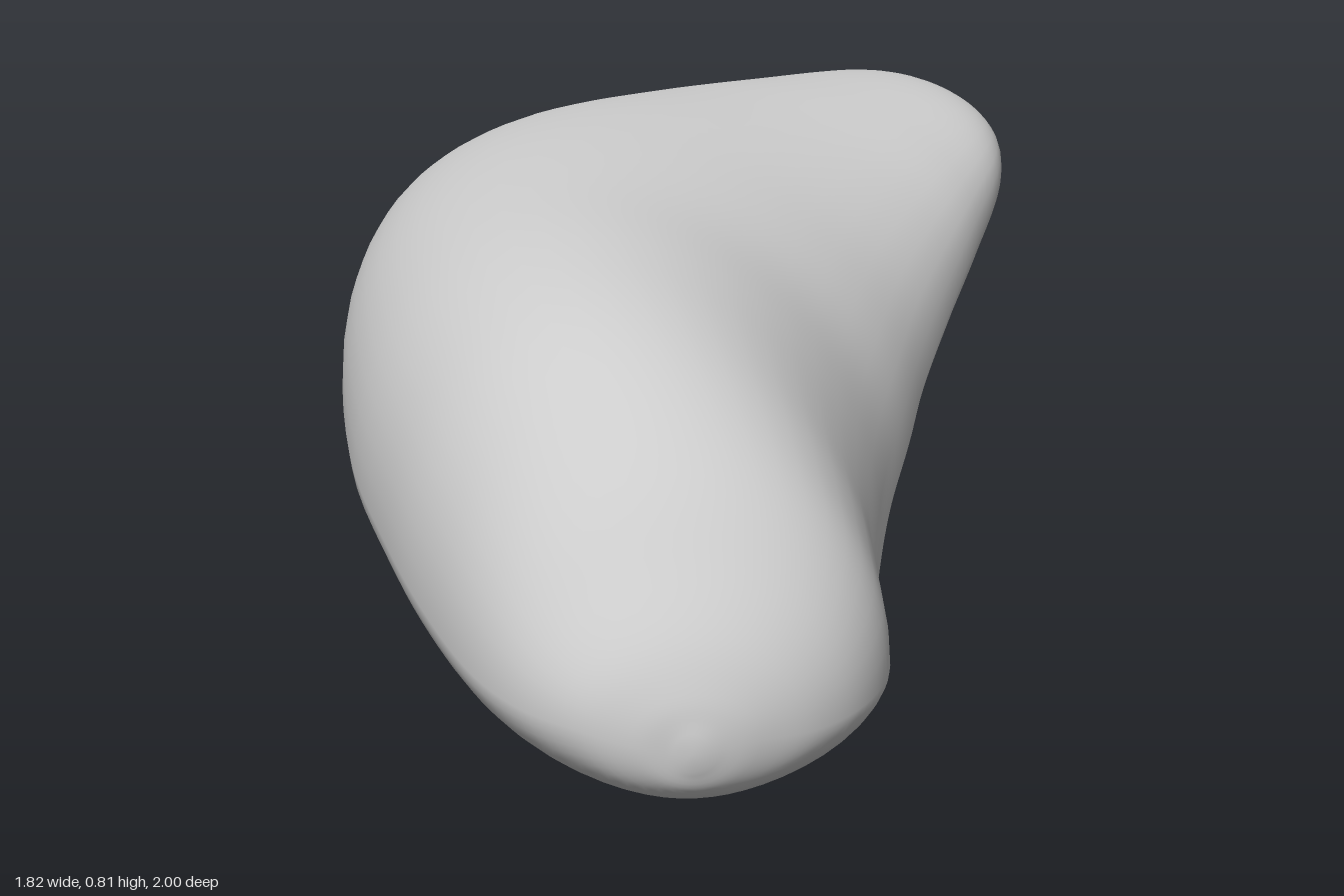
import * as THREE from 'three';

// Cross-sections from the raised back end to the low front end:
// outer rim (x, y, z), inner rim (x, y, z), crest height, underside height, crest lean
const SECTIONS = [
  [-0.59, 0.70, -0.998, -0.51, 0.70, -0.998, 0.72, 0.675, 0.0],
  [-0.71, 0.70, -0.955, -0.30, 0.68, -0.935, 0.78, 0.59, 0.12],
  [-0.77, 0.69, -0.87, -0.17, 0.64, -0.83, 0.808, 0.52, 0.23],
  [-0.83, 0.66, -0.62, -0.06, 0.56, -0.66, 0.812, 0.405, 0.27],
  [-0.89, 0.63, -0.37, 0.04, 0.47, -0.49, 0.812, 0.315, 0.27],
  [-0.905, 0.61, -0.08, 0.15, 0.37, -0.31, 0.81, 0.25, 0.24],
  [-0.80, 0.54, 0.20, 0.25, 0.29, -0.17, 0.795, 0.195, 0.2],
  [-0.57, 0.43, 0.47, 0.35, 0.225, -0.03, 0.765, 0.14, 0.16],
  [-0.23, 0.33, 0.71, 0.465, 0.18, 0.105, 0.725, 0.095, 0.12],
  [0.08, 0.26, 0.86, 0.59, 0.155, 0.235, 0.665, 0.055, 0.09],
  [0.30, 0.20, 0.94, 0.72, 0.145, 0.345, 0.58, 0.025, 0.06],
  [0.47, 0.16, 0.985, 0.83, 0.135, 0.44, 0.47, 0.005, 0.03],
  [0.60, 0.14, 0.995, 0.89, 0.12, 0.55, 0.35, 0.0, 0],
  [0.70, 0.13, 0.975, 0.905, 0.11, 0.66, 0.26, 0.01, 0],
  [0.775, 0.11, 0.927, 0.885, 0.11, 0.76, 0.185, 0.035, 0],
  [0.82, 0.10, 0.88, 0.855, 0.10, 0.835, 0.13, 0.07, 0],
];
const RINGS = 75, SIDES = 48;

const curveOf = (k) => new THREE.CatmullRomCurve3(
  SECTIONS.map((s) => new THREE.Vector3(s[k], s[k + 1], s[k + 2])), false, 'catmullrom', 0.5);

function bodyGeometry() {
  const outer = curveOf(0), inner = curveOf(3), heights = curveOf(6);
  const pos = [], index = [];
  const ringCentre = [];

  for (let i = 0; i <= RINGS; i++) {
    const t = i / RINGS;
    const L = outer.getPoint(t), R = inner.getPoint(t), h = heights.getPoint(t);
    const mid = L.clone().lerp(R, 0.5);
    ringCentre.push(new THREE.Vector3(mid.x, (h.x + h.y) / 2, mid.z));
    for (let j = 0; j < SIDES; j++) {
      const a = (j / SIDES) * Math.PI * 2;
      const s = Math.sin(a), c = Math.cos(a);
      // crest leans toward the outer rim, underside toward the inner rim
      const u = c - h.z * s * s * (s > 0 ? 1 : -0.6);
      const p = L.clone().lerp(R, (u + 1) / 2);
      const rim = THREE.MathUtils.lerp(L.y, R.y, (c + 1) / 2);
      // full crest, slightly keeled underside
      const y = s > 0
        ? THREE.MathUtils.lerp(rim, h.x, s ** 0.95)
        : THREE.MathUtils.lerp(rim, h.y, (-s) ** 1.05);
      pos.push(p.x, y, p.z);
    }
  }
  for (let i = 0; i < RINGS; i++) {
    for (let j = 0; j < SIDES; j++) {
      const a = i * SIDES + j, aj = i * SIDES + (j + 1) % SIDES;
      index.push(a, aj, a + SIDES, aj, aj + SIDES, a + SIDES);
    }
  }
  // rounded tips
  const first = pos.length / 3, last = first + 1, base = RINGS * SIDES;
  const p0 = ringCentre[0], p1 = ringCentre[RINGS];
  pos.push(p0.x, p0.y, p0.z - 0.002, p1.x + 0.004, p1.y, p1.z + 0.004);
  for (let j = 0; j < SIDES; j++) {
    const n = (j + 1) % SIDES;
    index.push(first, n, j, last, base + j, base + n);
  }

  const geo = new THREE.BufferGeometry();
  geo.setAttribute('position', new THREE.Float32BufferAttribute(pos, 3));
  geo.setIndex(index);
  // centre on the ground
  geo.computeBoundingBox();
  const b = geo.boundingBox;
  geo.translate(-(b.min.x + b.max.x) / 2, -b.min.y, -(b.min.z + b.max.z) / 2);
  geo.computeVertexNormals();
  return geo;
}

export function createModel() {
  const group = new THREE.Group();
  const body = new THREE.Mesh(bodyGeometry(), new THREE.MeshStandardMaterial({ color: 0xcccccc }));
  body.name = 'curvedBody';
  group.add(body);
  return group;
}
